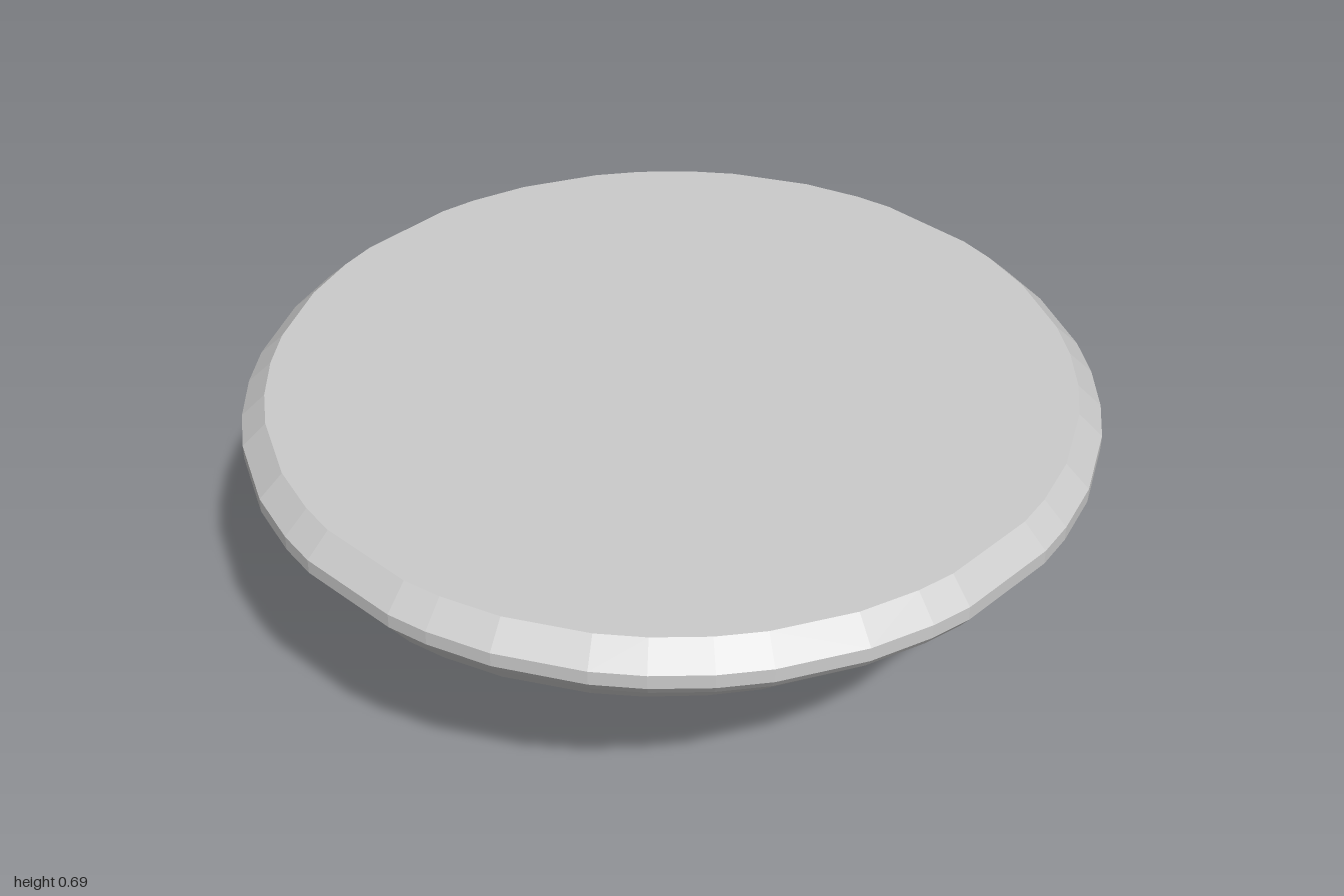
import * as THREE from 'three';
import { ConvexGeometry } from 'three/addons/geometries/ConvexGeometry.js';

export function createModel() {
  const group = new THREE.Group();
  const points = [];

  // Adds a point mirrored into all four quadrants
  const mirrored = (x, y, z) => {
    for (const sx of [1, -1]) for (const sz of [1, -1]) points.push(new THREE.Vector3(sx * x, y, sz * z));
  };

  // Foot: small octagon
  mirrored(0.33, 0, 0.12);
  mirrored(0.12, 0, 0.33);

  // Facets on the front and back of the sloping wall
  mirrored(0.13, 0.41, 0.8);

  // Wall, rim and bevel rings: [height, radius, depth scale]
  const octant = [7.5, 13.2, 22, 34, 41];
  const angles = [...octant, ...octant.map((a) => 90 - a)];
  const rings = [
    [0.52, 0.945, 0.978],
    [0.575, 0.985, 1],
    [0.605, 1.007, 1],
    [0.64, 1.007, 1],
    [0.695, 0.95, 1],
  ];
  for (const [y, r, depth] of rings) {
    for (const deg of angles) {
      const a = THREE.MathUtils.degToRad(deg);
      mirrored(r * Math.cos(a), y, r * Math.sin(a) * depth);
    }
  }

  // Solid faceted dish with a flat top
  const dish = new THREE.Mesh(
    new ConvexGeometry(points),
    new THREE.MeshStandardMaterial({ color: 0xcccccc, flatShading: true })
  );
  dish.name = 'taperedDish';
  group.add(dish);
  return group;
}
